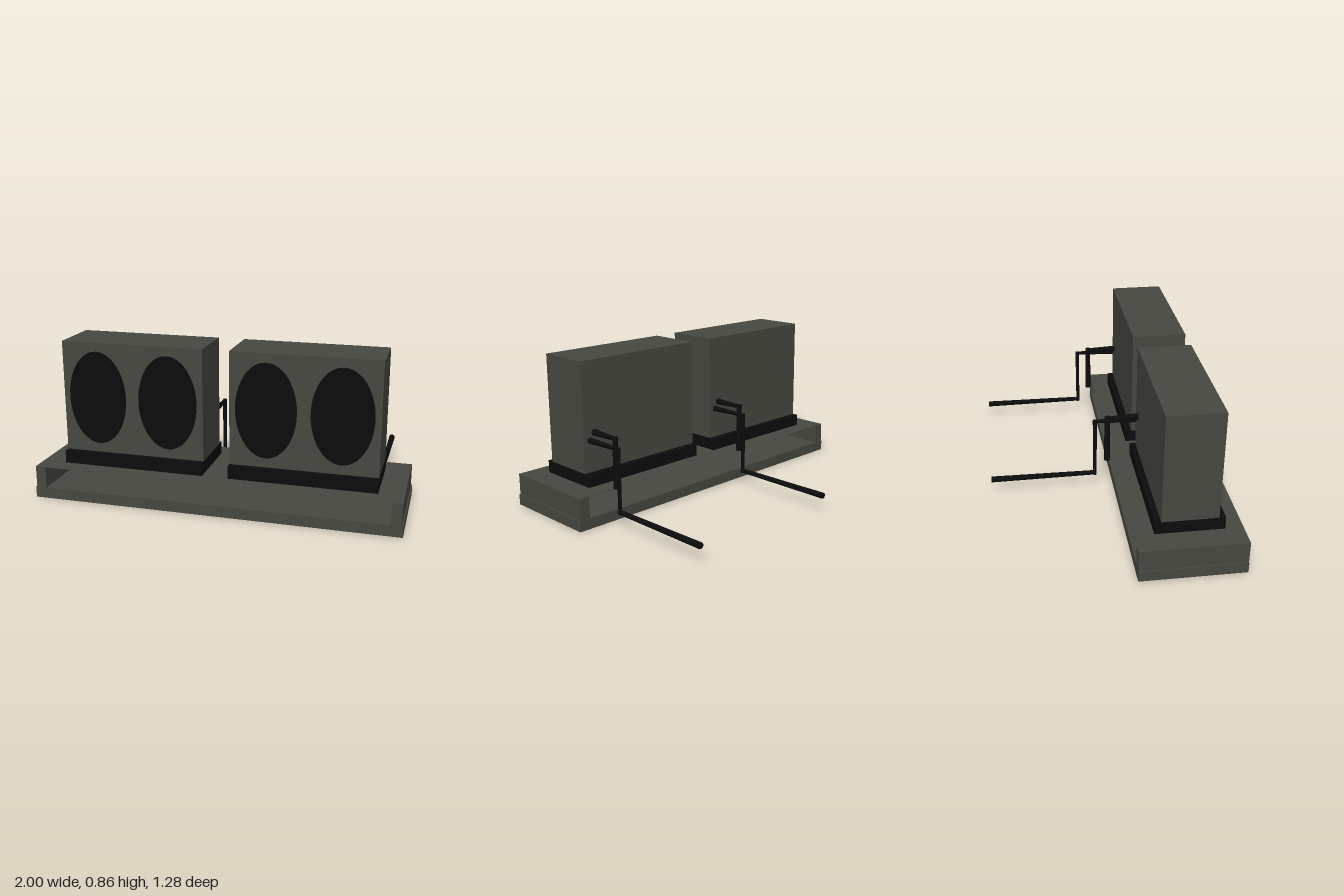
import * as THREE from 'three';

export function createModel() {
  const model = new THREE.Group();
  model.name = 'twinFanUnits';
  const casing = new THREE.MeshStandardMaterial({ color: 0x474840, side: THREE.DoubleSide });
  casing.name = 'olive grey';
  const black = new THREE.MeshStandardMaterial({ color: 0x0c0c0c });
  black.name = 'black';

  // box given by its min and max corners
  function box(parent, name, mat, [x0, y0, z0], [x1, y1, z1]) {
    const mesh = new THREE.Mesh(new THREE.BoxGeometry(x1 - x0, y1 - y0, z1 - z0), mat);
    mesh.position.set((x0 + x1) / 2, (y0 + y1) / 2, (z0 + z1) / 2);
    mesh.name = name;
    parent.add(mesh);
  }

  // straight pipe length between two points, tapering from r0 to r1
  function pipe(parent, name, a, b, r0, r1) {
    const from = new THREE.Vector3(...a);
    const dir = new THREE.Vector3(...b).sub(from);
    const mesh = new THREE.Mesh(new THREE.CylinderGeometry(r1, r0, dir.length(), 10), black);
    mesh.position.copy(from).addScaledVector(dir, 0.5);
    mesh.quaternion.setFromUnitVectors(new THREE.Vector3(0, 1, 0), dir.normalize());
    mesh.name = name;
    parent.add(mesh);
  }

  // base: shallow tray open underneath, end walls and a thin deck
  const base = new THREE.Group();
  base.name = 'base';
  model.add(base);
  const zBack = 0.07, zFront = 0.64;
  box(base, 'trayFloor', casing, [-1, 0.052, zBack], [1, 0.06, zFront]);
  box(base, 'trayFrontRail', casing, [-1, 0, zFront - 0.008], [1, 0.052, zFront]);
  box(base, 'trayBackRail', casing, [-1, 0, zBack], [1, 0.052, zBack + 0.008]);
  for (const s of [-1, 1]) {
    const side = (name, a, b, y0, y1) =>
      box(base, name, casing, [Math.min(s * a, s * b), y0, zBack], [Math.max(s * a, s * b), y1, zFront]);
    side('trayEndRail', 0.992, 1, 0, 0.052);
    side('endWall', 0.937, 0.993, 0.06, 0.179);
  }
  box(base, 'deck', casing, [-0.993, 0.178, zBack], [0.993, 0.18, zFront]);

  // two cabinets, each with plinth, twin oval openings and rear pipes
  for (const x of [-0.465, 0.465]) {
    const unit = new THREE.Group();
    unit.name = x < 0 ? 'rightUnit' : 'leftUnit';
    unit.position.x = x;
    model.add(unit);

    box(unit, 'plinth', black, [-0.394, 0.18, 0.173], [0.394, 0.25, 0.543]);
    box(unit, 'cabinet', casing, [-0.393, 0.25, 0.207], [0.393, 0.86, 0.508]);
    for (const s of [-1, 1]) {
      const opening = new THREE.Mesh(new THREE.CircleGeometry(1, 48), black);
      opening.name = 'fanOpening';
      opening.scale.set(0.163, 0.256, 1);
      opening.position.set(s * 0.198, 0.557, 0.511);
      unit.add(opening);
    }

    // long drain pipe
    const px = 0.355;
    pipe(unit, 'longPipeTop', [px, 0.43, 0.2], [px, 0.432, -0.043], 0.017, 0.010);
    pipe(unit, 'longPipeDrop', [px, 0.44, -0.036], [px, 0.077, -0.036], 0.012, 0.010);
    pipe(unit, 'longPipeTail', [px, 0.09, -0.028], [px, 0.09, -0.64], 0.013, 0.017);

    // short pipe
    const qx = 0.32;
    pipe(unit, 'shortPipeTop', [qx, 0.467, 0.209], [qx, 0.467, 0.016], 0.019, 0.010);
    pipe(unit, 'shortPipeDrop', [qx, 0.477, 0.03], [qx, 0.196, 0.03], 0.015, 0.018);
  }
  return model;
}
